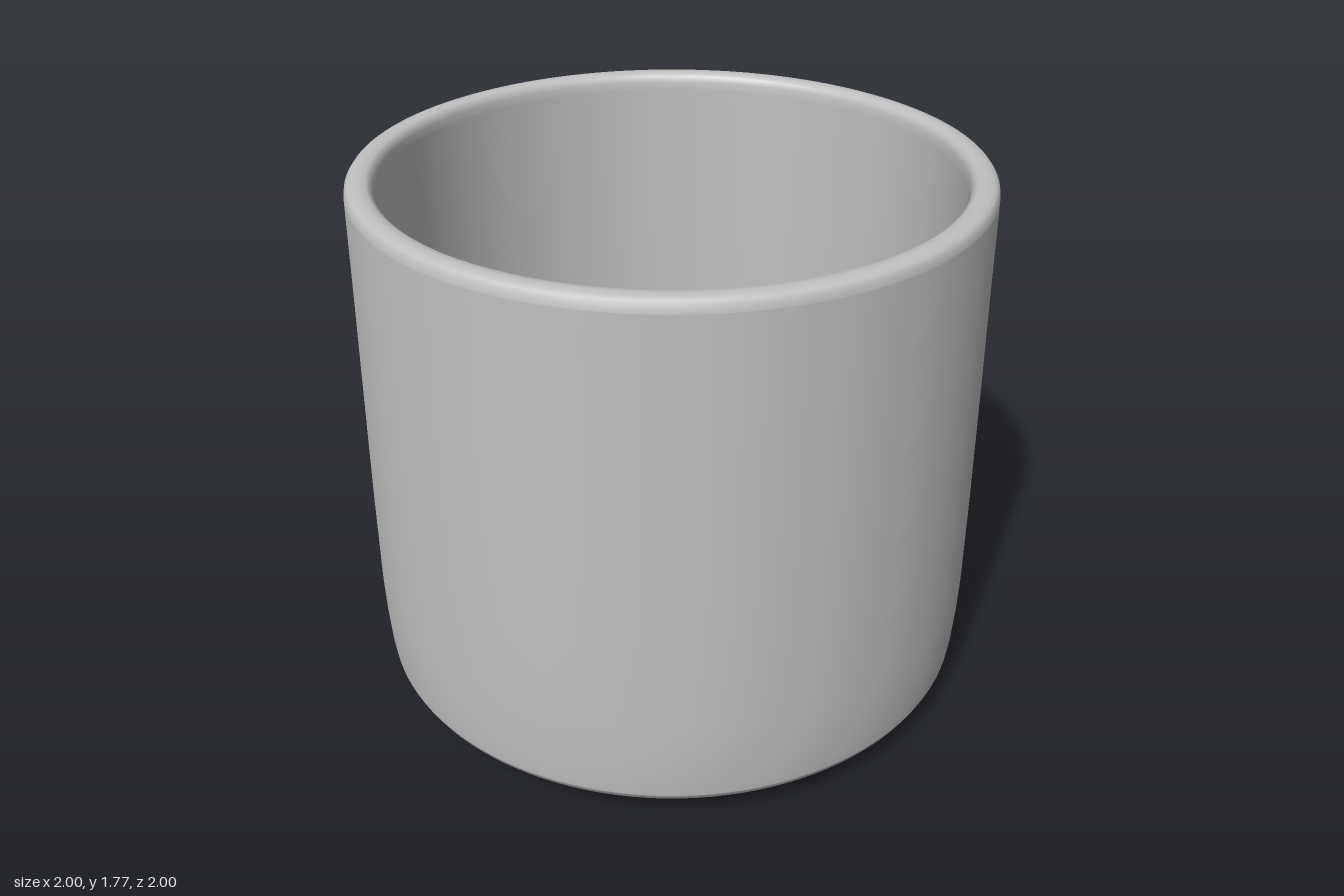
import * as THREE from 'three';

const SEGMENTS = 128;

// Revolves a list of [radius, height] points around the y axis
function revolve(name, points, material) {
  const profile = points.map(([r, y]) => new THREE.Vector2(r, y));
  const mesh = new THREE.Mesh(new THREE.LatheGeometry(profile, SEGMENTS), material);
  mesh.name = name;
  return mesh;
}

export function createModel() {
  const group = new THREE.Group();
  group.name = 'cup';
  const ceramic = new THREE.MeshStandardMaterial({ color: 0xc0c0c0 });
  ceramic.name = 'light grey ceramic';

  // Recessed underside, up to the standing edge
  group.add(revolve('baseRecess', [
    [0, 0.08], [0.66, 0.08], [0.7, 0.077], [0.73, 0.065], [0.76, 0.035], [0.775, 0.01], [0.785, 0],
  ], ceramic));

  // Narrow foot and rounded lower edge
  group.add(revolve('lowerBevel', [
    [0.785, 0], [0.8, 0.003], [0.85, 0.02], [0.9, 0.046], [0.945, 0.08], [0.975, 0.11], [0.985, 0.13],
  ], ceramic));

  // Slightly tapered outer wall
  group.add(revolve('outerWall', [
    [0.985, 0.13], [0.991, 0.18], [0.997, 0.28], [1, 0.4], [0.998, 0.7], [0.992, 1.1],
    [0.986, 1.45], [0.983, 1.68], [0.982, 1.735],
  ], ceramic));

  // Softened lip
  group.add(revolve('rim', [
    [0.982, 1.735], [0.979, 1.755], [0.97, 1.767], [0.955, 1.773], [0.935, 1.775],
    [0.915, 1.772], [0.902, 1.763], [0.896, 1.745], [0.895, 1.72],
  ], ceramic));

  // Inner wall, fillet and gently domed floor
  group.add(revolve('interior', [
    [0.895, 1.72], [0.892, 1.4], [0.888, 0.9], [0.885, 0.4], [0.878, 0.29], [0.86, 0.22],
    [0.83, 0.18], [0.79, 0.165], [0.74, 0.17], [0.65, 0.19], [0.55, 0.205], [0.3, 0.215], [0, 0.22],
  ], ceramic));

  return group;
}
